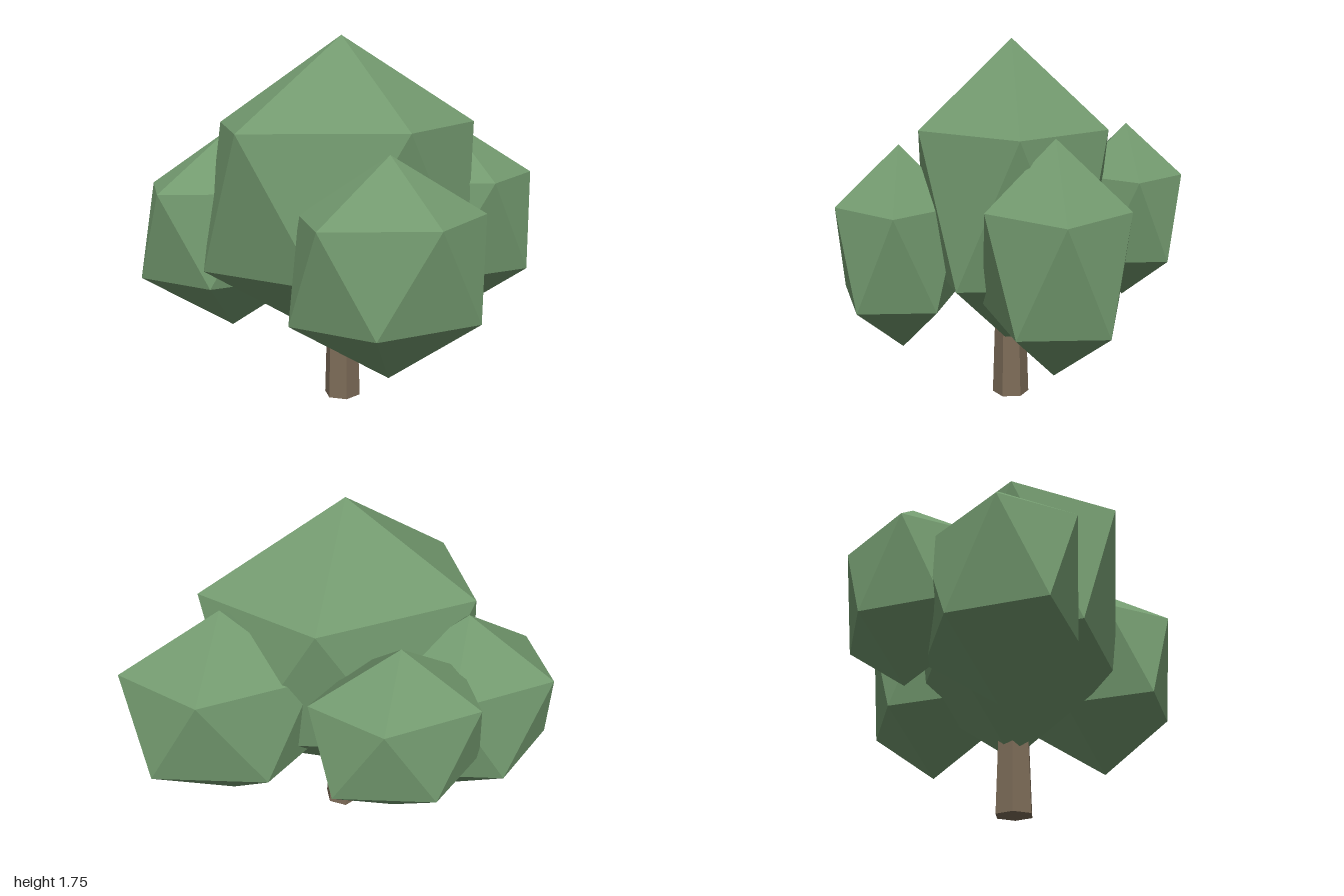
import * as THREE from 'three';

export function createModel() {
  const tree = new THREE.Group();
  tree.name = 'tree';

  const leafGreen = new THREE.MeshStandardMaterial({ color: 0x739a6f });
  leafGreen.name = 'leaf green';
  const barkBrown = new THREE.MeshStandardMaterial({ color: 0x7d6c58 });
  barkBrown.name = 'bark brown';

  // Faceted leaf clump: an icosahedron standing on a corner, upper ring corner at +x
  const clumpGeometry = new THREE.IcosahedronGeometry(1, 0);
  clumpGeometry.rotateZ(-Math.atan(2 / (1 + Math.sqrt(5))));

  // name, centre, radii
  const clumps = [
    ['mainCrown', [-0.055, 1.005, 0.005], [0.744, 0.75, 0.512]],
    ['frontClump', [0.025, 0.77, 0.54], [0.497, 0.496, 0.338]],
    ['leftClump', [0.525, 0.82, -0.15], [0.525, 0.522, 0.359]],
    ['rightClump', [-0.555, 0.797, -0.305], [0.497, 0.499, 0.347]],
    ['backClump', [-0.183, 0.903, -0.57], [0.436, 0.438, 0.303]],
  ];
  for (const [name, centre, radii] of clumps) {
    const clump = new THREE.Mesh(clumpGeometry, leafGreen);
    clump.name = name;
    clump.position.set(...centre);
    clump.scale.set(...radii);
    tree.add(clump);
  }

  // Six-sided tapered trunk, its top hidden in the main crown
  const trunkGeometry = new THREE.CylinderGeometry(0.07, 0.09, 0.6, 6).toNonIndexed();
  trunkGeometry.computeVertexNormals();
  const trunk = new THREE.Mesh(trunkGeometry, barkBrown);
  trunk.name = 'trunk';
  trunk.position.set(-0.055, 0.3, 0.01);
  tree.add(trunk);

  return tree;
}
